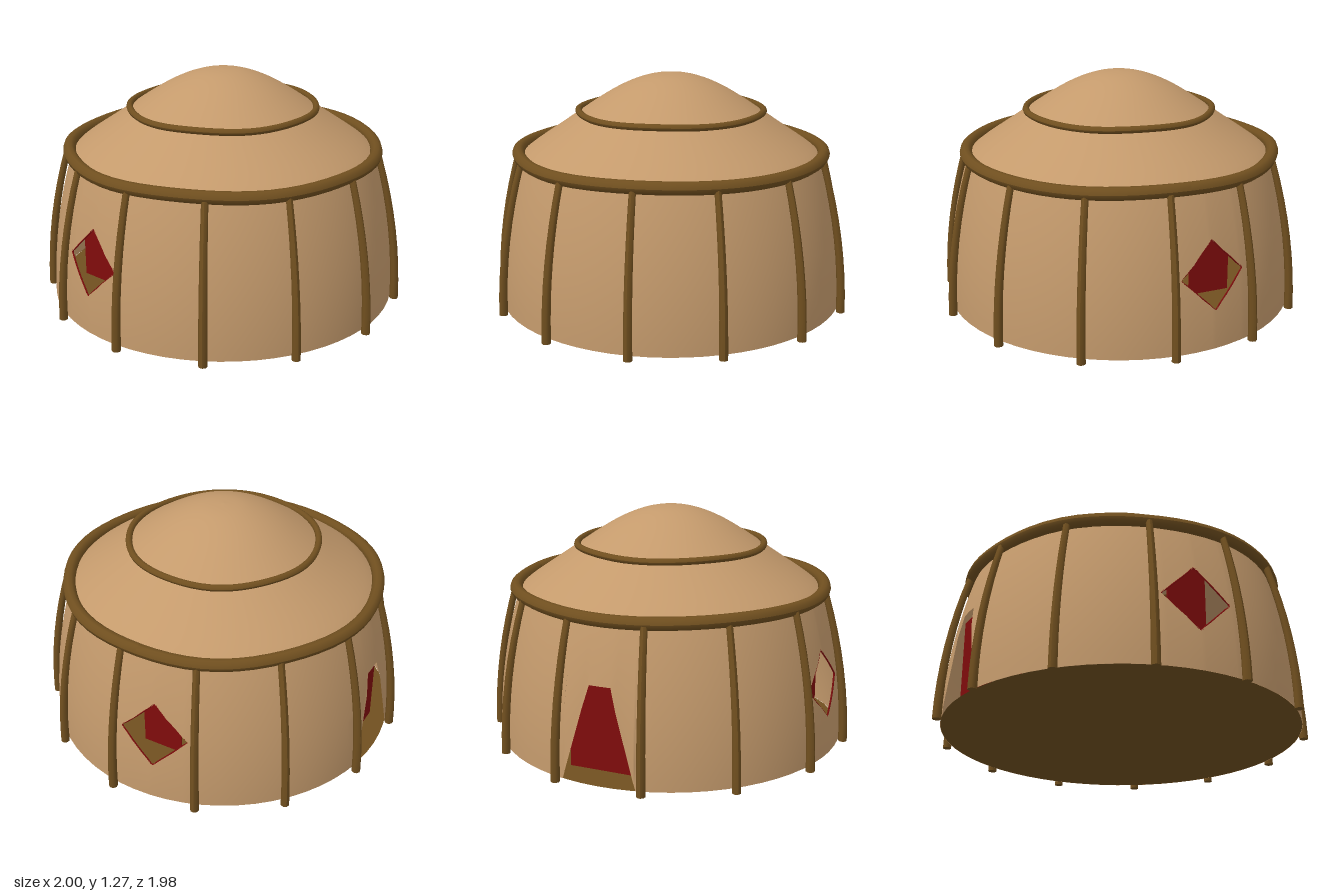
import * as THREE from 'three';
import { mergeVertices } from 'three/addons/utils/BufferGeometryUtils.js';

const canvas = new THREE.MeshStandardMaterial({ color: 0xc49a6c, side: THREE.DoubleSide });
const wood = new THREE.MeshStandardMaterial({ color: 0x704f1f, side: THREE.DoubleSide });
const red = new THREE.MeshStandardMaterial({ color: 0x800c0c, side: THREE.DoubleSide });

const BASE = 0.015, TOP = 0.83, POLES = 13, STEP = (Math.PI * 2) / POLES;
const WINDOW = { angle: STEP * 3.5, half: 0.2, y: 0.4, h: 0.18 };
const DOOR = { bottom: 0.21, top: 0.064, y: 0.52 };

// Bulging side profile of the wall, angle measured from +z towards +x
const wallRadius = (y) => 0.96 - 0.13 * (y / TOP) ** 2;
const onWall = (a, y) =>
  new THREE.Vector3(Math.sin(a) * wallRadius(y), y, Math.cos(a) * wallRadius(y));

function add(parent, name, geometry, material) {
  const mesh = new THREE.Mesh(geometry, material);
  mesh.name = name;
  parent.add(mesh);
  return mesh;
}

// Bottom and top of the opening in the wall at an angle (equal where closed)
function opening(a) {
  const door = Math.abs(a - Math.PI);
  if (door <= DOOR.bottom + 1e-6) {
    const t = Math.min(1, Math.max(0, (DOOR.bottom - door) / (DOOR.bottom - DOOR.top)));
    return [BASE, BASE + t * (DOOR.y - BASE)];
  }
  const side = Math.abs(Math.min(a, Math.PI * 2 - a) - WINDOW.angle);
  const s = Math.max(0, 1 - side / WINDOW.half) * WINDOW.h;
  return [WINDOW.y - s, WINDOW.y + s];
}

// Wall in vertical columns, split above and below the openings
function wallGeometry() {
  const angles = [];
  for (let i = 0; i <= 64; i++) angles.push((i / 64) * Math.PI * 2);
  for (const c of [WINDOW.angle, Math.PI * 2 - WINDOW.angle])
    angles.push(c - WINDOW.half, c, c + WINDOW.half);
  for (const d of [DOOR.bottom, DOOR.bottom + 2e-4, DOOR.top])
    angles.push(Math.PI - d, Math.PI + d);
  angles.sort((p, q) => p - q);

  const pos = [], rows = 6;
  const tri = (...pts) => pts.forEach((p) => pos.push(p.x, p.y, p.z));
  for (let i = 0; i < angles.length - 1; i++) {
    const [a, b] = [angles[i], angles[i + 1]];
    if (b - a < 1e-6) continue;
    const [oa, ob] = [opening(a), opening(b)];
    const spans = [[BASE, oa[0], BASE, ob[0]], [oa[1], TOP, ob[1], TOP]];
    for (const [a0, a1, b0, b1] of spans) {
      for (let j = 0; j < rows; j++) {
        const t = j / rows, u = (j + 1) / rows;
        const p = onWall(a, a0 + (a1 - a0) * t), q = onWall(b, b0 + (b1 - b0) * t);
        const r = onWall(b, b0 + (b1 - b0) * u), s = onWall(a, a0 + (a1 - a0) * u);
        if (p.distanceTo(s) + q.distanceTo(r) < 1e-5) continue;
        tri(p, q, r);
        tri(p, r, s);
      }
    }
  }
  let g = new THREE.BufferGeometry();
  g.setAttribute('position', new THREE.Float32BufferAttribute(pos, 3));
  g = mergeVertices(g, 1e-5);
  g.computeVertexNormals();
  return g;
}

// Slightly uneven, hand-bent wooden hoop
function hoop(radius, tube, wobble) {
  const g = new THREE.TorusGeometry(radius, tube, 10, 64).rotateX(Math.PI / 2);
  const p = g.attributes.position;
  for (let i = 0; i < p.count; i++) {
    const a = Math.atan2(p.getX(i), p.getZ(i));
    const k = 1 + wobble * Math.sin(a * 7);
    p.setXYZ(i, p.getX(i) * k, p.getY(i) + wobble * Math.sin(a * 5 + 1), p.getZ(i) * k);
  }
  g.computeVertexNormals();
  return g;
}

// Tapered pole bent to follow the wall
function poleGeometry() {
  const g = new THREE.CylinderGeometry(0.018, 0.024, TOP, 8, 8).translate(0, TOP / 2, 0);
  const p = g.attributes.position;
  for (let i = 0; i < p.count; i++)
    p.setZ(i, p.getZ(i) + 0.983 - 0.125 * (p.getY(i) / TOP) ** 2);
  g.computeVertexNormals();
  return g;
}

// Thin trim along the diamond edge of a window
function trimGeometry(centre) {
  const pts = [];
  for (let i = 0; i < 24; i++) {
    const side = Math.floor(i / 6), t = (i % 6) / 6;
    const c = [[1, 0], [0, 1], [-1, 0], [0, -1], [1, 0]];
    const u = c[side][0] * (1 - t) + c[side + 1][0] * t;
    const v = c[side][1] * (1 - t) + c[side + 1][1] * t;
    pts.push(onWall(centre + u * WINDOW.half, WINDOW.y + v * WINDOW.h).multiply(new THREE.Vector3(0.995, 1, 0.995)));
  }
  return new THREE.TubeGeometry(new THREE.CatmullRomCurve3(pts, true), 72, 0.005, 4, true);
}

export function createModel() {
  const tent = new THREE.Group();
  tent.name = 'roundTent';
  tent.position.z = -0.015;

  // Canvas shell
  add(tent, 'wall', wallGeometry(), canvas);
  const roofProfile = new THREE.SplineCurve([
    [0.84, 0.815], [0.77, 0.872], [0.6, 0.988], [0.5, 1.058], [0.4, 1.125],
    [0.3, 1.185], [0.2, 1.231], [0.1, 1.26], [0, 1.268],
  ].map(([x, y]) => new THREE.Vector2(x, y)));
  add(tent, 'roof', new THREE.LatheGeometry(roofProfile.getPoints(24), 64), canvas);

  // Wooden floor and hoops
  add(tent, 'floor', new THREE.CircleGeometry(0.958, 64).rotateX(Math.PI / 2), wood).position.y = BASE;
  add(tent, 'eaveHoop', hoop(0.845, 0.034, 0.004), wood).position.y = 0.84;
  add(tent, 'roofHoop', hoop(0.51, 0.018, 0.003), wood).position.y = 1.065;

  // Poles around the wall
  const pole = poleGeometry();
  for (let i = 0; i < POLES; i++) add(tent, 'pole', pole, wood).rotation.y = i * STEP;

  // Hangings behind the windows and the door
  for (const s of [1, -1]) {
    add(tent, 'windowTrim', trimGeometry(s * WINDOW.angle), red);
    const cloth = add(tent, 'windowCurtain', new THREE.BoxGeometry(0.006, 0.34, 0.22), red);
    cloth.position.set(s * 0.84, 0.45, -0.122);
  }
  add(tent, 'doorCurtain', new THREE.BoxGeometry(0.4, 0.5, 0.006), red).position.set(0, 0.3, -0.845);

  const model = new THREE.Group();
  model.name = 'model';
  model.add(tent);
  return model;
}
